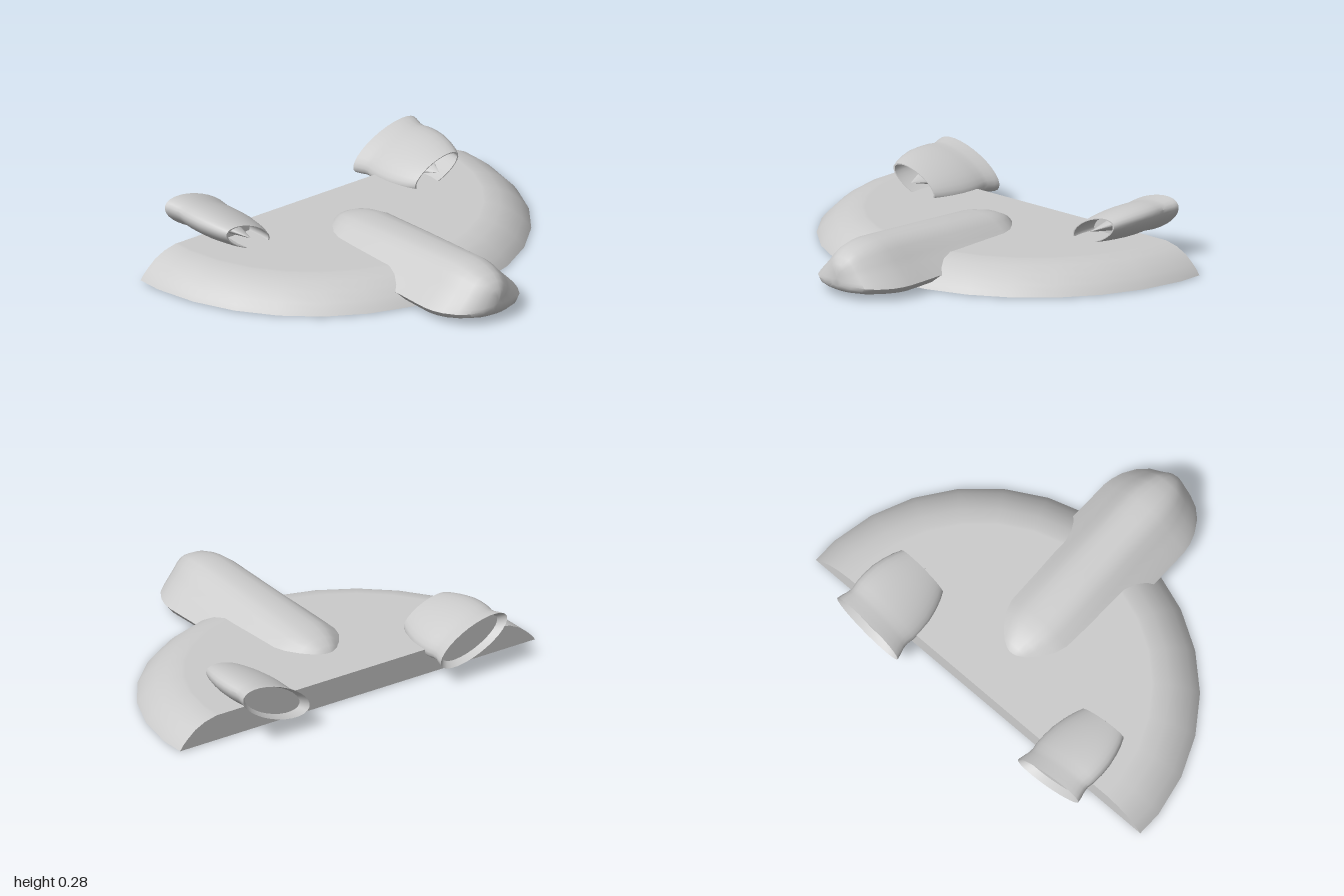
import * as THREE from 'three';
import { toCreasedNormals } from 'three/addons/utils/BufferGeometryUtils.js';

const material = new THREE.MeshStandardMaterial({ color: 0xcccccc });

// Skin a list of closed rings (each clockwise seen from the first end) and cap both ends.
function loft(rings, crease) {
  const n = rings[0].length;
  const points = rings.flat();
  const index = [];
  for (let i = 0; i < rings.length - 1; i++) {
    for (let j = 0; j < n; j++) {
      const a = i * n + j, b = i * n + (j + 1) % n;
      index.push(a, b, a + n, b, b + n, a + n);
    }
  }
  for (const [ring, start, first] of [[rings[0], 0, true], [rings.at(-1), (rings.length - 1) * n, false]]) {
    const centre = ring.reduce((s, p) => s.add(p), new THREE.Vector3()).divideScalar(n);
    const c = points.push(centre) - 1;
    for (let j = 0; j < n; j++) {
      const a = start + j, b = start + (j + 1) % n;
      index.push(c, first ? b : a, first ? a : b);
    }
  }
  const geometry = new THREE.BufferGeometry().setFromPoints(points);
  geometry.setIndex(index);
  return toCreasedNormals(geometry, crease);
}

// Half-disc wing: faceted rim, rounded shoulder, straight cut at the back.
function wingGeometry() {
  const profile = [[0.785, 0.133], [0.8, 0.133], [0.865, 0.118], [0.92, 0.092], [0.965, 0.055], [0.99, 0.03], [1.0055, 0.008]];
  const rings = profile.map(([r, y]) => {
    const edge = r * Math.cos(Math.PI / 30);
    const ring = [new THREE.Vector3(edge, y, -0.62)];
    for (let k = 0; k < 15; k++) {
      const t = THREE.MathUtils.degToRad(6 + 12 * k);
      ring.push(new THREE.Vector3(r * Math.cos(t), y, -0.6 + r * Math.sin(t)));
    }
    ring.push(new THREE.Vector3(-edge, y, -0.62));
    return ring;
  });
  return loft(rings, 0.55);
}

// Fuselage: arched top and shallow belly meeting at a low, wide edge.
function fuselageGeometry() {
  const half = [[0, 1], [0.15, 0.99], [0.3, 0.94], [0.45, 0.79], [0.6, 0.56], [0.73, 0.38], [0.9, 0.15], [1, 0],
    [0.9, -0.5], [0.6, -0.82], [0.3, -0.96], [0, -1]];
  const outline = [...half, ...half.slice(1, -1).reverse().map(([u, v]) => [-u, v])];
  // z, half width, top, edge height, bottom
  const sections = [
    [0.755, 0.03, 0.14, 0.085, 0.065], [0.745, 0.085, 0.168, 0.075, 0.045], [0.72, 0.14, 0.195, 0.07, 0.032],
    [0.68, 0.185, 0.218, 0.067, 0.022], [0.62, 0.222, 0.234, 0.065, 0.012], [0.57, 0.24, 0.241, 0.065, 0.007],
    [0.52, 0.248, 0.243, 0.065, 0.004], [0.44, 0.248, 0.239, 0.065, 0.006], [0.3, 0.25, 0.231, 0.068, 0.01],
    [0.1, 0.256, 0.219, 0.07, 0.015], [-0.2, 0.26, 0.2, 0.07, 0.02], [-0.26, 0.24, 0.191, 0.07, 0.02],
    [-0.32, 0.19, 0.177, 0.07, 0.02], [-0.365, 0.135, 0.156, 0.07, 0.025], [-0.395, 0.08, 0.131, 0.07, 0.03],
    [-0.41, 0.03, 0.1, 0.07, 0.05]];
  const rings = sections.map(([z, w, top, mid, bottom]) => outline.map(([u, v]) =>
    new THREE.Vector3(u * w, mid + v * (v > 0 ? top - mid : mid - bottom), z)));
  return loft(rings, 0.75);
}

// Lathe along z, squashed to an ellipse.
function squashedLathe(profile, crease) {
  const geometry = new THREE.LatheGeometry(profile.map(([r, z]) => new THREE.Vector2(r, z)), 28);
  geometry.rotateX(Math.PI / 2).scale(1.067, 0.42, 1);
  return toCreasedNormals(geometry, crease);
}

export function createModel() {
  const model = new THREE.Group();
  const add = (parent, name, geometry) => {
    const mesh = new THREE.Mesh(geometry, material);
    mesh.name = name;
    parent.add(mesh);
  };
  add(model, 'wing', wingGeometry());
  add(model, 'fuselage', fuselageGeometry());

  // Nacelle: recessed exhaust disc, flared lip, bulged shell, hollow intake.
  const shell = squashedLathe([[0, -0.725], [0.155, -0.725], [0.187, -0.76], [0.182, -0.735], [0.172, -0.7],
    [0.17, -0.675], [0.176, -0.64], [0.178, -0.59], [0.174, -0.53], [0.161, -0.47], [0.145, -0.42], [0.128, -0.383],
    [0.12, -0.383], [0.125, -0.44], [0.12, -0.52], [0, -0.52]], 0.6);
  const spinner = squashedLathe([[0.065, -0.52], [0, -0.36]], 0.6);
  for (const side of [1, -1]) {
    const engine = new THREE.Group();
    engine.name = side > 0 ? 'leftEngine' : 'rightEngine';
    add(engine, 'nacelle', shell);
    add(engine, 'intakeSpinner', spinner);
    engine.position.set(side * 0.557, 0.184, 0);
    engine.rotation.z = side * THREE.MathUtils.degToRad(22);
    model.add(engine);
  }
  return model;
}
